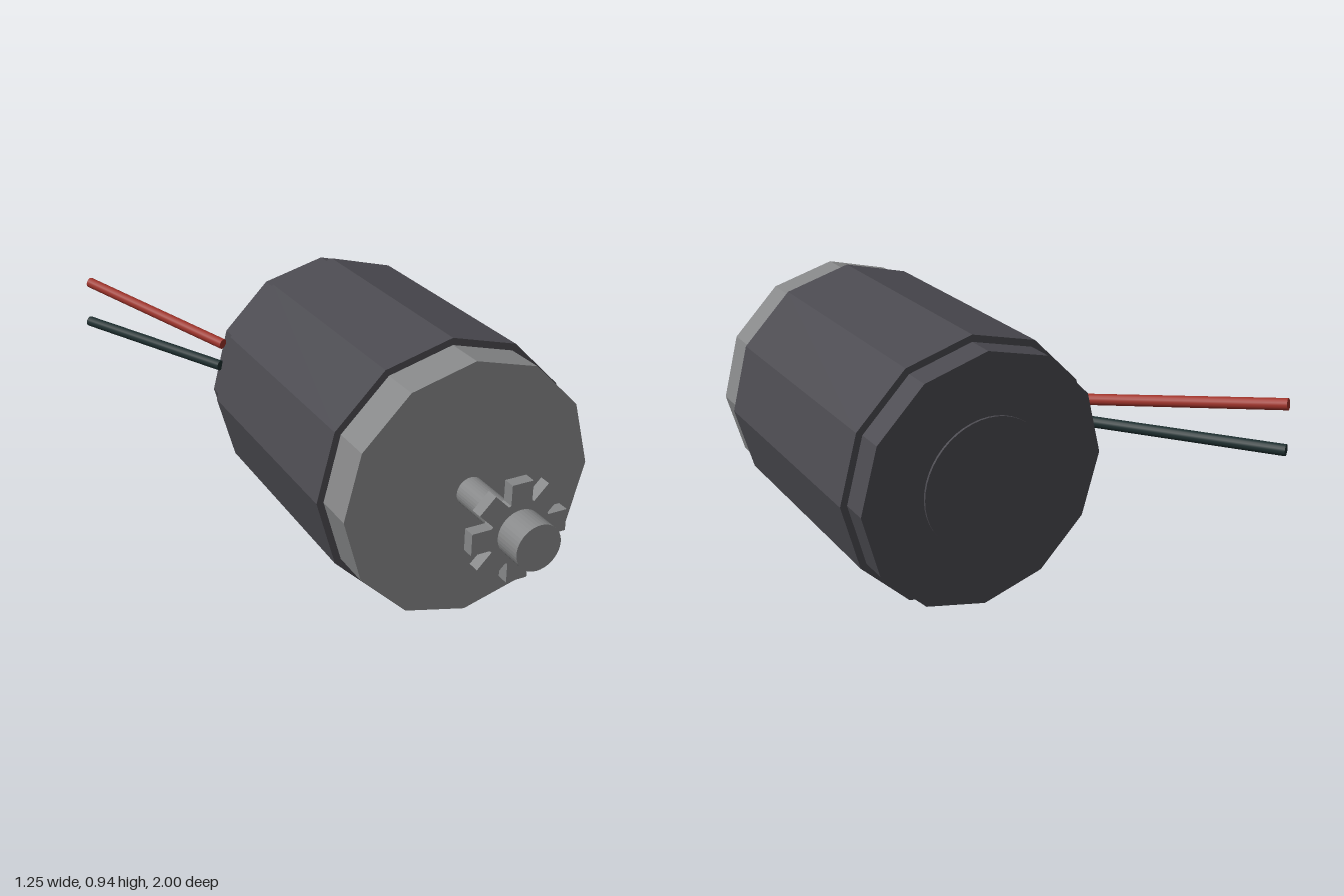
import * as THREE from 'three';

const CX = 0.153, CY = 0.474;

export function createModel() {
  const model = new THREE.Group();
  model.name = 'electricMotor';

  const material = (name, color, flatShading = false) => {
    const m = new THREE.MeshStandardMaterial({ color, flatShading });
    m.name = name;
    return m;
  };
  const casing = material('charcoal casing', 0x4b4a50, true);
  const metal = material('grey metal', 0x868788, true);
  const red = material('red insulation', 0xa0342b);
  const black = material('black insulation', 0x1e2f30);

  const add = (name, geometry, mat) => {
    const mesh = new THREE.Mesh(geometry, mat);
    mesh.name = name;
    model.add(mesh);
    return mesh;
  };
  // Cylinder along z on the motor axis, between z0 and z1
  const drum = (name, radius, z0, z1, sides, mat) => {
    const g = new THREE.CylinderGeometry(radius, radius, z1 - z0, sides);
    g.rotateX(Math.PI / 2).translate(CX, CY, (z0 + z1) / 2);
    return add(name, g, mat);
  };

  // Twelve-sided housing with stepped end caps
  drum('housing', 0.472, -0.374, 0.481, 12, casing);
  drum('frontCap', 0.448, 0.47, 0.622, 12, metal);
  drum('rearCap', 0.448, -0.466, -0.36, 12, casing);
  drum('rearBearingPlate', 0.23, -0.474, -0.46, 48, casing);

  // Output shaft and hub
  drum('shaft', 0.05, 0.61, 0.87, 32, metal);
  drum('hub', 0.078, 0.89, 1.0, 40, metal);

  // Gear with eight straight-sided teeth
  const points = [];
  for (let i = 0; i < 8; i++) {
    for (const [x, y] of [[0.037, 0.1], [0.037, 0.168], [-0.037, 0.168], [-0.037, 0.1]]) {
      points.push(new THREE.Vector2(x, y).rotateAround(new THREE.Vector2(), i * Math.PI / 4));
    }
  }
  const gear = new THREE.ExtrudeGeometry(new THREE.Shape(points), { depth: 0.04, bevelEnabled: false });
  add('gear', gear.translate(CX, CY, 0.861), metal);

  // Two straight lead wires leaving the rear edge
  const wire = (name, from, to, mat) => {
    const a = new THREE.Vector3(...from), b = new THREE.Vector3(...to);
    const dir = b.clone().sub(a);
    const mesh = add(name, new THREE.CylinderGeometry(0.019, 0.019, dir.length(), 16), mat);
    mesh.position.copy(a).add(b).multiplyScalar(0.5);
    mesh.quaternion.setFromUnitVectors(new THREE.Vector3(0, 1, 0), dir.normalize());
  };
  wire('redWire', [-0.262, 0.66, -0.437], [-0.592, 0.774, -0.99], red);
  wire('blackWire', [-0.275, 0.577, -0.437], [-0.606, 0.616, -0.99], black);

  return model;
}
